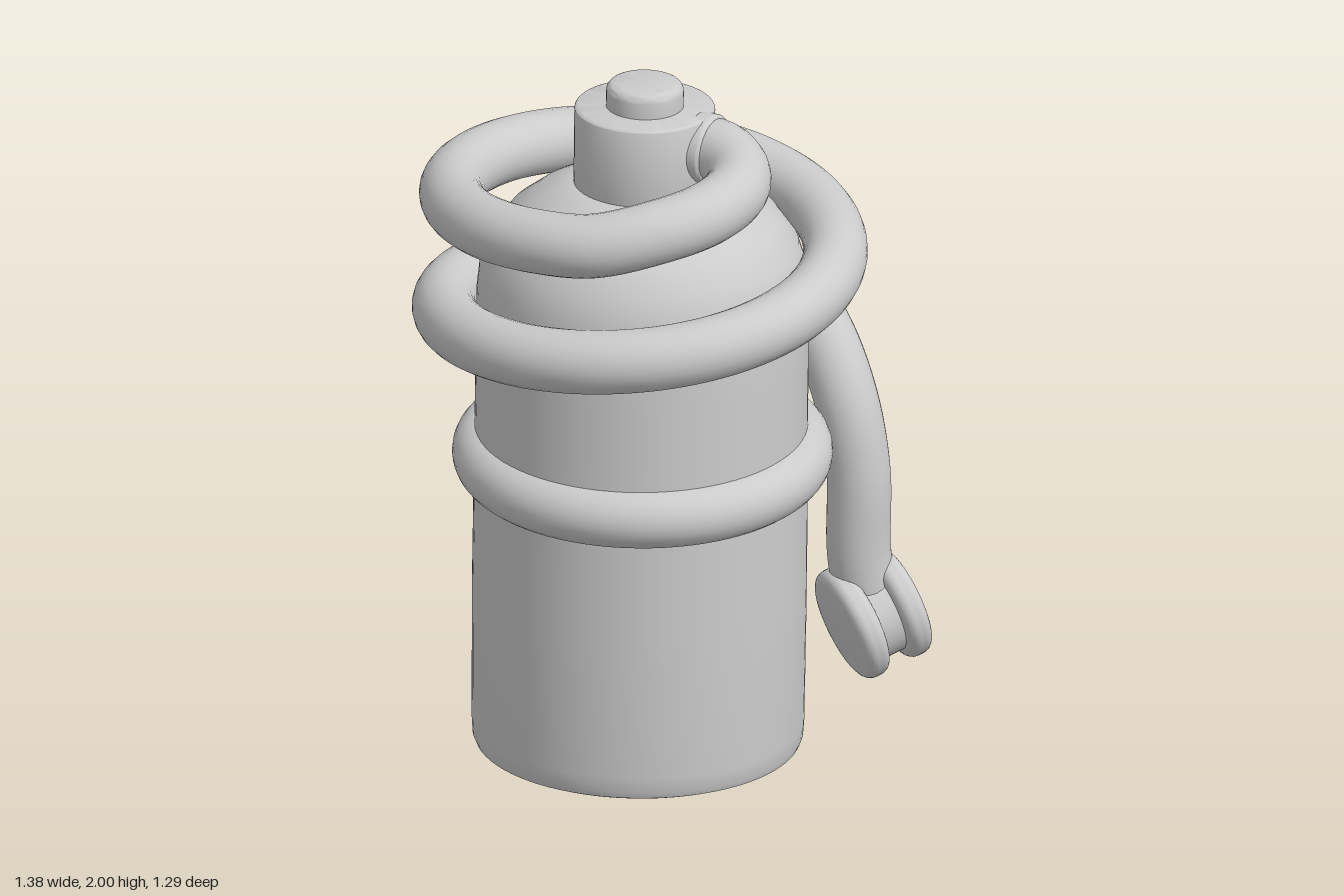
import * as THREE from 'three';
import { toCreasedNormals } from 'three/addons/utils/BufferGeometryUtils.js';

const material = new THREE.MeshStandardMaterial({ color: 0xcccccc });
const V = (x, y, z) => new THREE.Vector3(x, y, z);

function add(parent, name, geometry) {
  const mesh = new THREE.Mesh(geometry, material);
  mesh.name = name;
  parent.add(mesh);
  return mesh;
}

// Turned part from [radius, height] pairs, bottom to top
function turned(points, segments = 64) {
  const profile = points.map(([r, y]) => new THREE.Vector2(r, y));
  return toCreasedNormals(new THREE.LatheGeometry(profile, segments), 0.7);
}

// Closed disc with quarter-round rims, centred on its own axis
function roundedDisc(radius, height, bevel) {
  const points = [[0, -height / 2]];
  for (const side of [-1, 1]) {
    for (let i = 0; i <= 5; i++) {
      const a = (side < 0 ? i - 5 : i) / 5 * Math.PI / 2;
      points.push([radius - bevel + bevel * Math.cos(a), side * (height / 2 - bevel) + bevel * Math.sin(a)]);
    }
  }
  points.push([0, height / 2]);
  return turned(points, 48);
}

// Aim a part's own y axis along a direction
function aim(object, direction) {
  object.quaternion.setFromUnitVectors(V(0, 1, 0), direction.clone().normalize());
}

export function createModel() {
  const model = new THREE.Group();
  model.name = 'canister';

  // Tank, neck and button share one slightly leaning axis
  const tank = new THREE.Group();
  tank.name = 'tank';
  tank.position.set(-0.047, 0, 0.09);
  tank.rotation.x = -0.04;
  model.add(tank);
  add(tank, 'body', turned([
    [0, 0.022], [0.44, 0.022], [0.453, 0.028], [0.46, 0.045], [0.463, 0.09], [0.466, 0.5], [0.463, 1.2],
    [0.462, 1.38], [0.455, 1.45], [0.433, 1.52], [0.38, 1.595], [0.31, 1.65], [0.24, 1.69], [0.2, 1.702], [0, 1.71],
  ], 80));
  add(tank, 'neck', roundedDisc(0.196, 0.27, 0.01)).position.y = 1.795;
  add(tank, 'button', roundedDisc(0.108, 0.12, 0.025)).position.y = 1.94;

  // Bumper ring round the middle
  const ring = add(model, 'bumperRing', new THREE.TorusGeometry(0.443, 0.087, 24, 80));
  ring.rotation.x = Math.PI / 2;
  ring.position.set(-0.043, 0.888, 0.052);

  // Collar where the hose leaves the neck
  const outlet = V(0.97, 0, 0.23);
  const collar = add(model, 'hoseCollar', roundedDisc(0.1, 0.06, 0.012));
  collar.position.set(0.135, 1.832, 0.043);
  aim(collar, outlet);

  // Hose: leaves the neck, winds down round the tank, then hangs at the back
  const path = [V(0.1, 1.832, 0.035), V(0.185, 1.832, 0.06), V(0.25, 1.815, 0.125), V(0.272, 1.8, 0.23),
    V(0.225, 1.785, 0.365), V(0.11, 1.765, 0.475)];
  for (let deg = 0; deg <= 540; deg += 20) {
    const a = THREE.MathUtils.degToRad(deg);
    const r = 0.525 + 0.03 * deg / 540;
    path.push(V(-0.057 - r * Math.sin(a), 1.73 - 0.087 * deg / 90, 0.01 + r * Math.cos(a)));
  }
  path.push(V(0.1, 1.205, -0.55), V(0.24, 1.165, -0.51), V(0.345, 1.06, -0.445), V(0.425, 0.9, -0.39),
    V(0.465, 0.7, -0.37), V(0.468, 0.45, -0.367), V(0.49, 0.29, -0.378));
  const curve = new THREE.CatmullRomCurve3(path, false, 'centripetal');
  add(model, 'hose', new THREE.TubeGeometry(curve, 320, 0.09, 24, false));

  // Spool-shaped nozzle at the hose end
  const nozzle = new THREE.Group();
  nozzle.name = 'nozzle';
  nozzle.position.set(0.505, 0.26, -0.383);
  aim(nozzle, V(0.73, 0.29, -0.62));
  model.add(nozzle);
  for (const [name, side] of [['innerNozzleDisc', -1], ['outerNozzleDisc', 1]]) {
    add(nozzle, name, roundedDisc(0.165, 0.075, 0.03)).position.y = side * 0.068;
  }
  add(nozzle, 'nozzleHub', new THREE.CylinderGeometry(0.13, 0.13, 0.12, 40));

  return model;
}
